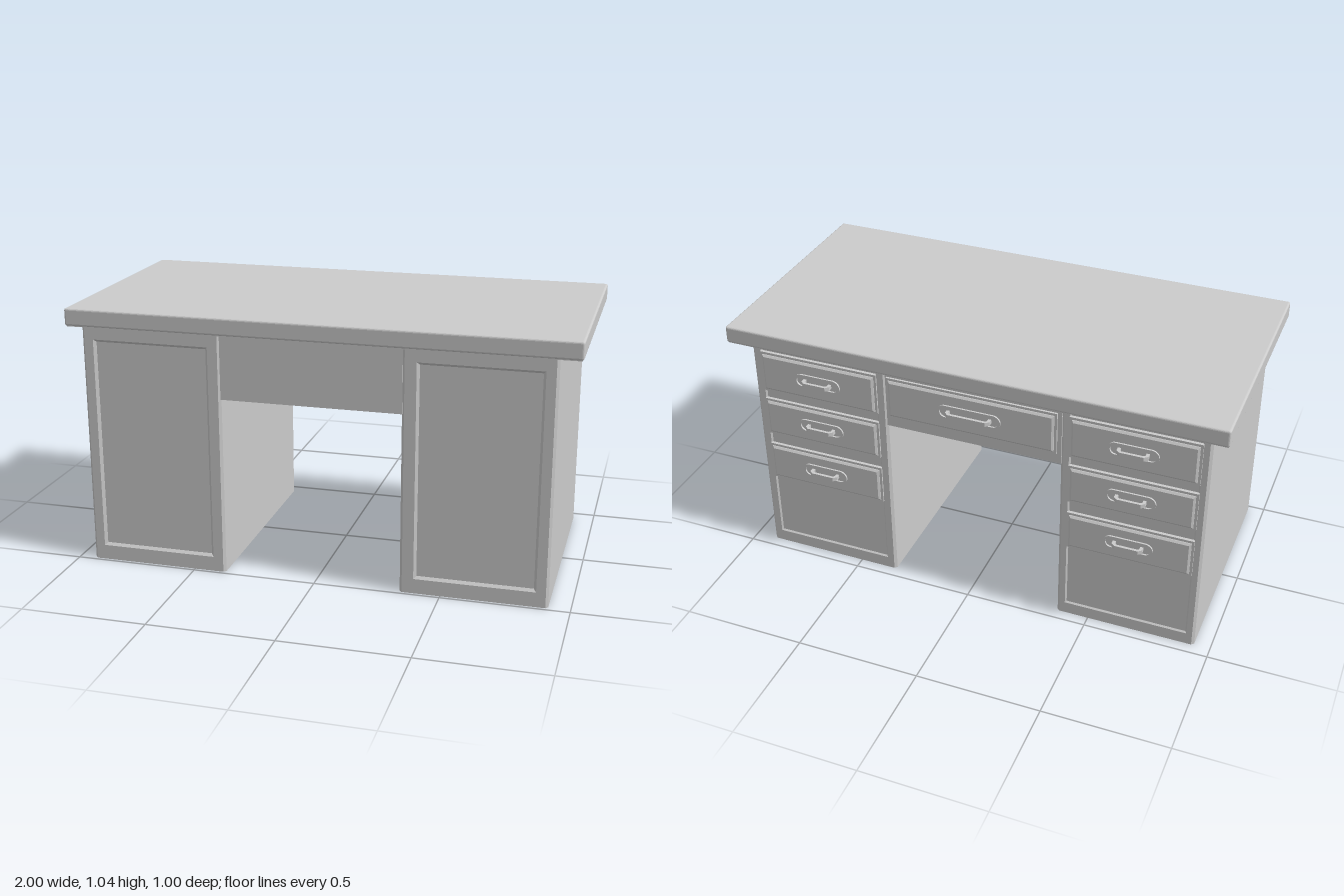
import * as THREE from 'three';
import { RoundedBoxGeometry } from 'three/addons/geometries/RoundedBoxGeometry.js';

const grey = new THREE.MeshStandardMaterial({ color: 0xcccccc, flatShading: true });

function add(parent, name, geometry) {
  const mesh = new THREE.Mesh(geometry, grey);
  mesh.name = name;
  parent.add(mesh);
  return mesh;
}

// Box given by its limits on each axis
function box(parent, name, [x0, x1], [y0, y1], [z0, z1]) {
  const mesh = add(parent, name, new THREE.BoxGeometry(x1 - x0, y1 - y0, z1 - z0));
  mesh.position.set((x0 + x1) / 2, (y0 + y1) / 2, (z0 + z1) / 2);
  return mesh;
}

function rect(x0, x1, y0, y1, Type = THREE.Shape) {
  return new Type([
    new THREE.Vector2(x0, y0), new THREE.Vector2(x1, y0),
    new THREE.Vector2(x1, y1), new THREE.Vector2(x0, y1),
  ]);
}

// Stadium outline centred on the origin
function stadium(w, h) {
  const r = h / 2, c = w / 2 - r;
  const s = new THREE.Shape();
  s.absarc(c, 0, r, -Math.PI / 2, Math.PI / 2);
  s.absarc(-c, 0, r, Math.PI / 2, Math.PI * 1.5);
  s.closePath();
  return s;
}

// Chamfered frame with a sunken panel, outer face at z = 0 facing +z
function framedWall(name, width, height, hole, recess) {
  const g = new THREE.Group();
  g.name = name;
  const b = 0.01, w = width / 2;
  const shape = rect(-w + b, w - b, 0, height);
  const [x0, x1, y0, y1] = hole;
  shape.holes.push(rect(x0 - b, x1 + b, y0 - b, y1 + b, THREE.Path));
  const geo = new THREE.ExtrudeGeometry(shape, {
    depth: 0.005, bevelEnabled: true, bevelSize: b, bevelThickness: b, bevelSegments: 1,
  });
  // Keep the top and bottom edges square
  const p = geo.attributes.position;
  for (let i = 0; i < p.count; i++) p.setY(i, THREE.MathUtils.clamp(p.getY(i), 0, height));
  geo.translate(0, 0, -0.015);
  geo.computeVertexNormals();
  add(g, 'frame', geo);
  box(g, 'sunkenPanel', [x0 - b, x1 + b], [y0 - b, y1 + b], [-0.02, -recess]);
  return g;
}

// Drawer front with stepped face and pull, back at z = 0 facing +z
function drawer(width, height, pullWidth) {
  const g = new THREE.Group();
  g.name = 'drawer';
  const w = width / 2, h = height / 2;
  box(g, 'drawerFront', [-w, w], [-h, h], [-0.008, 0.007]);

  const i = 0.018;
  const raised = new THREE.ExtrudeGeometry(rect(-w + i, w - i, -h + i, h - i), {
    depth: 0.008, bevelEnabled: true, bevelSize: 0.008, bevelThickness: 0.006, bevelSegments: 1,
  });
  raised.translate(0, 0, 0.002);
  add(g, 'raisedPanel', raised);

  // Oval back plate with a raised rim
  const plateWidth = pullWidth + 0.075, plateHeight = 0.06;
  const rim = stadium(plateWidth, plateHeight);
  rim.holes.push(new THREE.Path(stadium(plateWidth - 0.018, plateHeight - 0.018).getPoints(8)));
  const rimGeo = new THREE.ExtrudeGeometry(rim, { depth: 0.008, bevelEnabled: false, curveSegments: 8 });
  rimGeo.translate(0, 0, 0.015);
  add(g, 'pullPlate', rimGeo);

  // Flat bow-shaped pull
  const a = pullWidth / 2;
  const outline = [
    [-a, 0], [-a, 0.02], [-a + 0.014, 0.032], [a - 0.014, 0.032], [a, 0.02], [a, 0],
    [a - 0.012, 0], [a - 0.012, 0.016], [a - 0.018, 0.021],
    [-a + 0.018, 0.021], [-a + 0.012, 0.016], [-a + 0.012, 0],
  ].map(([x, y]) => new THREE.Vector2(x, y));
  const pull = new THREE.ExtrudeGeometry(new THREE.Shape(outline), { depth: 0.016, bevelEnabled: false });
  pull.rotateX(Math.PI / 2);
  pull.translate(0, 0.008, 0.0145);
  add(g, 'pull', pull);
  return g;
}

function addDrawer(parent, x, y0, y1, width, pullWidth) {
  const d = drawer(width, y1 - y0, pullWidth);
  d.rotation.y = Math.PI;
  d.position.set(x, (y0 + y1) / 2, -0.4545);
  parent.add(d);
}

// Hollow pedestal, open underneath
function pedestal(name, x0, x1, panelX0, panelX1) {
  const g = new THREE.Group();
  g.name = name;
  const cx = (x0 + x1) / 2, width = x1 - x0, H = 0.978, t = 0.016;
  box(g, 'outerSide', [x0, x0 + t], [0, H], [-0.445, 0.477]);
  box(g, 'innerSide', [x1 - t, x1], [0, H], [-0.445, 0.477]);
  box(g, 'innerDivider', [x0 + t, x1 - t], [0.11, H], [0.33, 0.34]);

  const front = framedWall('frontWall', width, H, [panelX0 - cx, panelX1 - cx, 0.07, 0.915], 0.011);
  front.position.set(cx, 0, 0.487);
  g.add(front);

  const back = framedWall('backWall', width, H, [-0.24, 0.24, 0.06, 0.945], 0.006);
  back.rotation.y = Math.PI;
  back.position.set(cx, 0, -0.455);
  g.add(back);

  for (const [y0, y1] of [[0.765, 0.942], [0.56, 0.726], [0.342, 0.508]]) {
    addDrawer(g, cx, y0, y1, 0.5, 0.12);
  }
  return g;
}

export function createModel() {
  const desk = new THREE.Group();
  desk.name = 'desk';

  // Desktop with softened edges and a thin lip below
  const top = add(desk, 'desktop', new RoundedBoxGeometry(2, 0.069, 0.997, 2, 0.008));
  top.position.set(0, 1.0105, 0.0015);
  box(desk, 'desktopLip', [-0.994, 0.994], [0.973, 0.985], [-0.49, 0.494]);

  desk.add(pedestal('rightPedestal', -0.935, -0.37, -0.88, -0.43));
  desk.add(pedestal('leftPedestal', 0.34, 0.915, 0.405, 0.858));

  // Bridge over the knee space with its wide drawer
  box(desk, 'kneeBridge', [-0.372, 0.342], [0.72, 0.976], [-0.453, 0.483]);
  addDrawer(desk, -0.01, 0.765, 0.942, 0.69, 0.18);

  return desk;
}
